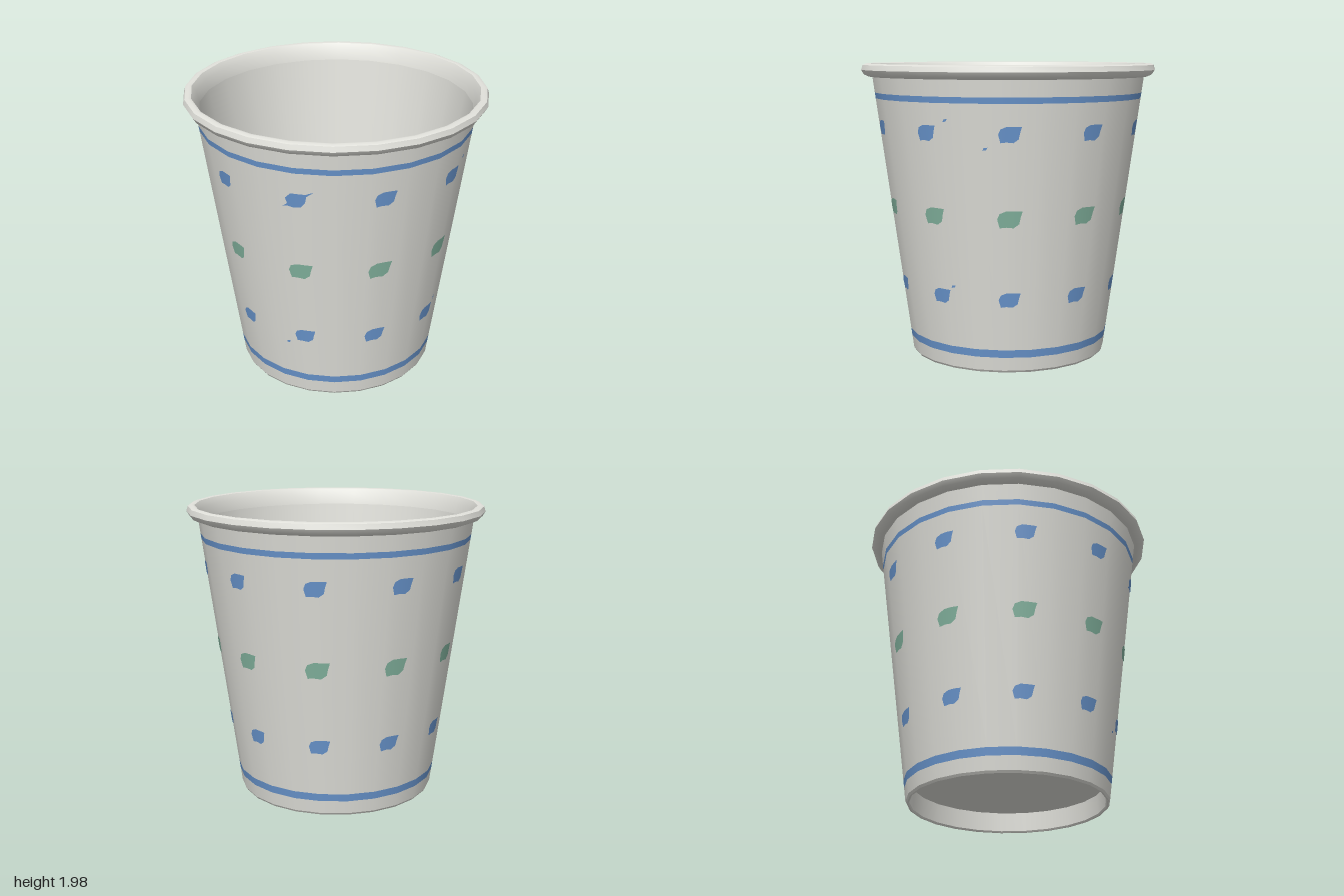
import * as THREE from 'three';
import { toCreasedNormals } from 'three/addons/utils/BufferGeometryUtils.js';

const SIDES = 24;
const STEP = (Math.PI * 2) / SIDES;
const SLOPE = (0.925 - 0.67) / 1.895;
const wallRadius = (y) => 0.67 + SLOPE * y;

function material(name, color) {
  const m = new THREE.MeshStandardMaterial({ color });
  m.name = name;
  return m;
}

// Distance from the axis to the flat-sided wall at a given angle and height
function facetRadius(angle, y) {
  const local = angle - Math.floor(angle / STEP) * STEP - STEP / 2;
  return (wallRadius(y) * Math.cos(STEP / 2)) / Math.cos(local);
}

// Thin painted patch: a fan of rings that follows the wall
function patchGeometry(outline, angle0, y0, scale) {
  const pos = [], nor = [], index = [];
  const n = outline.length, rings = 4, lift = 0.004;
  const add = (u, v) => {
    const y = y0 + v * scale;
    const a = angle0 + (u * scale) / wallRadius(y0);
    const r = facetRadius(a, y) + lift;
    pos.push(Math.sin(a) * r, y, Math.cos(a) * r);
    const k = Math.hypot(1, SLOPE);
    nor.push(Math.sin(a) / k, -SLOPE / k, Math.cos(a) / k);
  };
  add(0, 0);
  for (let k = 1; k <= rings; k++) {
    for (const [u, v] of outline) add((u * k) / rings, (v * k) / rings);
  }
  for (let i = 0; i < n; i++) {
    const j = (i + 1) % n;
    index.push(0, 1 + i, 1 + j);
    for (let k = 1; k < rings; k++) {
      const a = 1 + (k - 1) * n, b = a + n;
      index.push(a + i, b + i, b + j, a + i, b + j, a + j);
    }
  }
  const g = new THREE.BufferGeometry();
  g.setAttribute('position', new THREE.Float32BufferAttribute(pos, 3));
  g.setAttribute('normal', new THREE.Float32BufferAttribute(nor, 3));
  g.setIndex(index);
  return g;
}

export function createModel() {
  const cup = new THREE.Group();
  cup.name = 'paperCup';
  const paper = material('paperWhite', 0xe2e2dc);
  const blue = material('blue', 0x6a97d0);
  const green = material('green', 0x84b5a0);

  const addMesh = (name, geometry, mat) => {
    const mesh = new THREE.Mesh(geometry, mat);
    mesh.name = name;
    cup.add(mesh);
  };
  const lathe = (name, profile, mat, crease) => {
    let g = new THREE.LatheGeometry(profile.map(([r, y]) => new THREE.Vector2(r, y)), SIDES);
    if (crease) g = toCreasedNormals(g, crease);
    addMesh(name, g, mat);
  };

  // Outer wall, cut into plain sections and blue bands
  const wall = [
    ['lowerWall', 0.015, 0.105, paper],
    ['lowerBand', 0.105, 0.157, blue],
    ['middleWall', 0.157, 1.747, paper],
    ['upperBand', 1.747, 1.785, blue],
    ['upperWall', 1.785, 1.895, paper],
  ];
  for (const [name, y0, y1, mat] of wall) {
    lathe(name, [[wallRadius(y0), y0], [wallRadius(y1), y1]], mat);
  }

  // Rolled rim
  lathe('rim', [
    [0.925, 1.895], [0.945, 1.89], [0.98, 1.905], [0.998, 1.935],
    [0.988, 1.968], [0.965, 1.977], [0.945, 1.972], [0.918, 1.93], [0.9, 1.86],
  ], paper, 0.7);

  // Inside wall, floor, underside and foot
  lathe('innerWall', [[0.9, 1.86], [0.66, 0.15]], paper);
  lathe('floor', [[0.66, 0.15], [0, 0.15]], paper);
  lathe('underside', [[0, 0.14], [0.64, 0.14]], paper);
  lathe('footInside', [[0.64, 0.14], [0.645, 0.01]], paper);
  lathe('footEdge', [[0.645, 0.01], [0.652, 0], [0.662, 0], [wallRadius(0.015), 0.015]], paper, 0.7);

  // Outlines of the painted spots, anticlockwise
  const leaf = [
    [-0.06, -0.055], [-0.02, -0.05], [0.025, -0.055], [0.06, -0.03], [0.068, 0.01],
    [0.08, 0.05], [0.03, 0.052], [-0.02, 0.052], [-0.06, 0.035], [-0.075, 0],
  ];
  const tailed = [
    [-0.095, -0.06], [-0.06, -0.048], [-0.02, -0.055], [0.035, -0.05], [0.065, -0.015],
    [0.075, 0.033], [0.125, 0.07], [0.07, 0.049], [0.03, 0.05], [-0.03, 0.05], [-0.07, 0.01], [-0.058, -0.03],
  ];
  const speck = [[-0.016, -0.01], [0.008, -0.006], [0.018, 0.012], [-0.01, 0.008]];

  // Three rows of ten spots
  const rows = [
    ['upperSpot', 1.56, 0.93, blue],
    ['middleSpot', 1.03, 1.02, green],
    ['lowerSpot', 0.5, 0.9, blue],
  ];
  for (const [name, y, scale, mat] of rows) {
    for (let i = 0; i < 10; i++) {
      const outline = name === 'upperSpot' && i === 0 ? tailed : leaf;
      addMesh(name, patchGeometry(outline, (i * Math.PI) / 5, y, scale), mat);
    }
  }

  // Stray flecks of blue
  for (const [deg, y] of [[81.5, 1.64], [98, 1.47], [79.5, 0.57], [-9.5, 0.42]]) {
    addMesh('fleck', patchGeometry(speck, THREE.MathUtils.degToRad(deg), y, 0.9), blue);
  }
  return cup;
}
